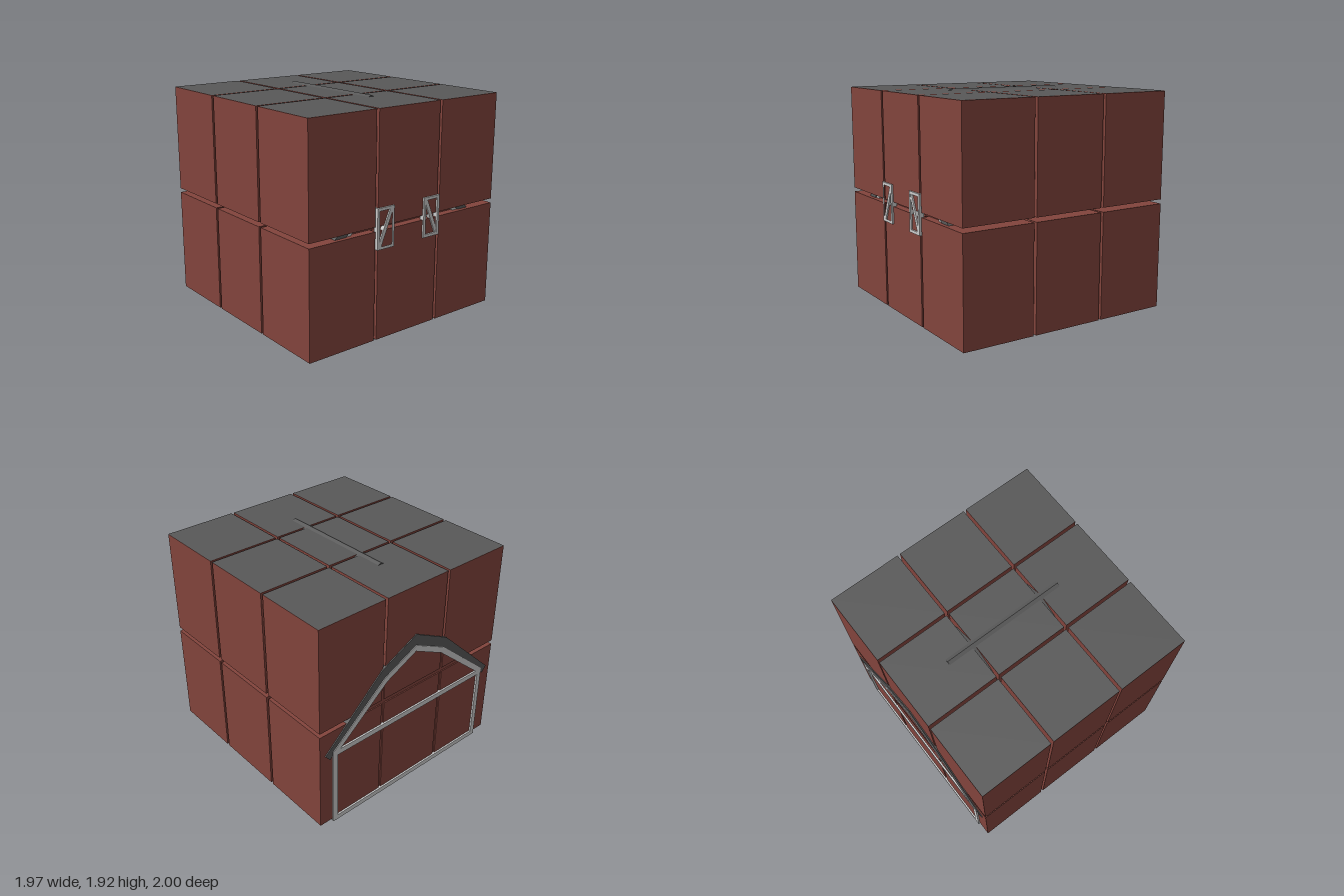
import * as THREE from 'three';

const mat = (color) => new THREE.MeshStandardMaterial({ color, flatShading: true });
const red = mat(0x82443c);
const slate = mat(0x585858);
const trim = mat(0xcccccc);

function add(parent, name, geometry, material, x = 0, y = 0, z = 0) {
  const mesh = new THREE.Mesh(geometry, material);
  mesh.name = name;
  mesh.position.set(x, y, z);
  parent.add(mesh);
  return mesh;
}

const poly = (points) => points.map(([x, y]) => new THREE.Vector2(x, y));

// Mirrors the right half of a profile, listed from the outside in, to the left
const mirrored = (half, apex) => [...half, [0, apex], ...half.slice().reverse().map(([x, y]) => [-x, y])];

function prism(points, z0, z1, holes = []) {
  const shape = new THREE.Shape(poly(points));
  holes.forEach((hole) => shape.holes.push(new THREE.Path(poly(hole))));
  return new THREE.ExtrudeGeometry(shape, { depth: z1 - z0, bevelEnabled: false }).translate(0, 0, z0);
}

// Straight trim board between two points in the xy plane
function board(parent, name, [x0, y0], [x1, y1], z, width = 0.026, depth = 0.03) {
  const length = Math.hypot(x1 - x0, y1 - y0);
  const mesh = add(parent, name, new THREE.BoxGeometry(length, width, depth), trim, (x0 + x1) / 2, (y0 + y1) / 2, z);
  mesh.rotation.z = Math.atan2(y1 - y0, x1 - x0);
}

// Walled section with gable trim and a double-pitched roof
function barnSection(name, back, front, roofBack, roofFront) {
  const group = new THREE.Group();
  group.name = name;
  const wall = mirrored([[0.845, 0.004], [0.845, 0.73], [0.32, 1.18]], 1.34);
  add(group, 'walls', prism(wall, back + 0.025, front - 0.025), red);

  const outline = mirrored([[0.86, 0], [0.86, 0.745], [0.33, 1.2]], 1.36);
  const lowerHole = [[-0.815, 0.045], [0.815, 0.045], [0.815, 0.695], [-0.815, 0.695]];
  const upperHole = mirrored([[0.79, 0.742], [0.305, 1.155]], 1.305);
  for (const z of [back, front - 0.03]) {
    add(group, 'gableTrim', prism(outline, z, z + 0.03, [lowerHole, upperHole]), trim);
  }

  const roof = [
    ...mirrored([[0.935, 0.735], [0.36, 1.28]], 1.46),
    ...mirrored([[0.89, 0.68], [0.33, 1.2]], 1.36).reverse(),
  ];
  add(group, 'roof', prism(roof, roofBack, roofFront), slate);
  return group;
}

// Hay door with a diagonal brace
function hayDoor(side) {
  const group = new THREE.Group();
  group.name = side > 0 ? 'leftHayDoor' : 'rightHayDoor';
  const [a, b, lo, hi] = [0.16, 0.335, 0.79, 1.13];
  const rect = (m) => [[a + m, lo + m], [b - m, lo + m], [b - m, hi - m], [a + m, hi - m]].map(([x, y]) => [side * x, y]);
  add(group, 'doorFrame', prism(rect(0), 0.955, 0.999, [rect(0.024)]), trim);
  board(group, 'doorBrace', [side * 0.185, 1.11], [side * 0.31, 0.81], 0.977, 0.032, 0.04);
  return group;
}

export function createModel() {
  const model = new THREE.Group();
  model.name = 'barnWithBlocks';

  // Outer grid of blocks, three by two by three, with dark tops on the upper layer
  const blocks = new THREE.Group();
  blocks.name = 'blocks';
  model.add(blocks);
  const columns = [-0.665, 0, 0.665];
  for (const x of columns) {
    for (const z of columns) {
      add(blocks, 'lowerBlock', new THREE.BoxGeometry(0.64, 0.92, 0.64), red, x, 0.482, z);
      add(blocks, 'upperBlock', new THREE.BoxGeometry(0.64, 0.924, 0.64), red, x, 1.442, z);
      add(blocks, 'blockTop', new THREE.PlaneGeometry(0.64, 0.64).rotateX(-Math.PI / 2), slate, x, 1.906, z);
    }
  }

  // Main barn, and the narrower raised section on the same profile
  const barn = barnSection('barn', -1, 0.94, -0.994, 0.95);
  model.add(barn);
  const raised = barnSection('raisedSection', -0.54, 0.49, -0.57, 0.515);
  raised.scale.set(0.6, 0.6, 1);
  raised.position.y = 1.044;
  model.add(raised);

  // Floor and the sills along its long sides
  add(model, 'floor', new THREE.BoxGeometry(1.71, 0.018, 1.92), red, 0, 0.009, -0.03);
  for (const side of [-1, 1]) {
    add(model, 'sill', new THREE.BoxGeometry(0.03, 0.045, 1.92), trim, side * 0.846, 0.0235, -0.03);
    model.add(hayDoor(side));

    // Main door leaf with crossed braces
    const door = new THREE.Group();
    door.name = side > 0 ? 'leftDoor' : 'rightDoor';
    const corners = [[0.015, 0.03], [0.45, 0.03], [0.45, 0.645], [0.015, 0.645]].map(([x, y]) => [side * x, y]);
    corners.forEach((corner, i) => board(door, 'doorRail', corner, corners[(i + 1) % 4], 0.94));
    board(door, 'doorBrace', corners[0], corners[2], 0.935);
    board(door, 'doorBrace', corners[1], corners[3], 0.935);
    model.add(door);
  }
  return model;
}
